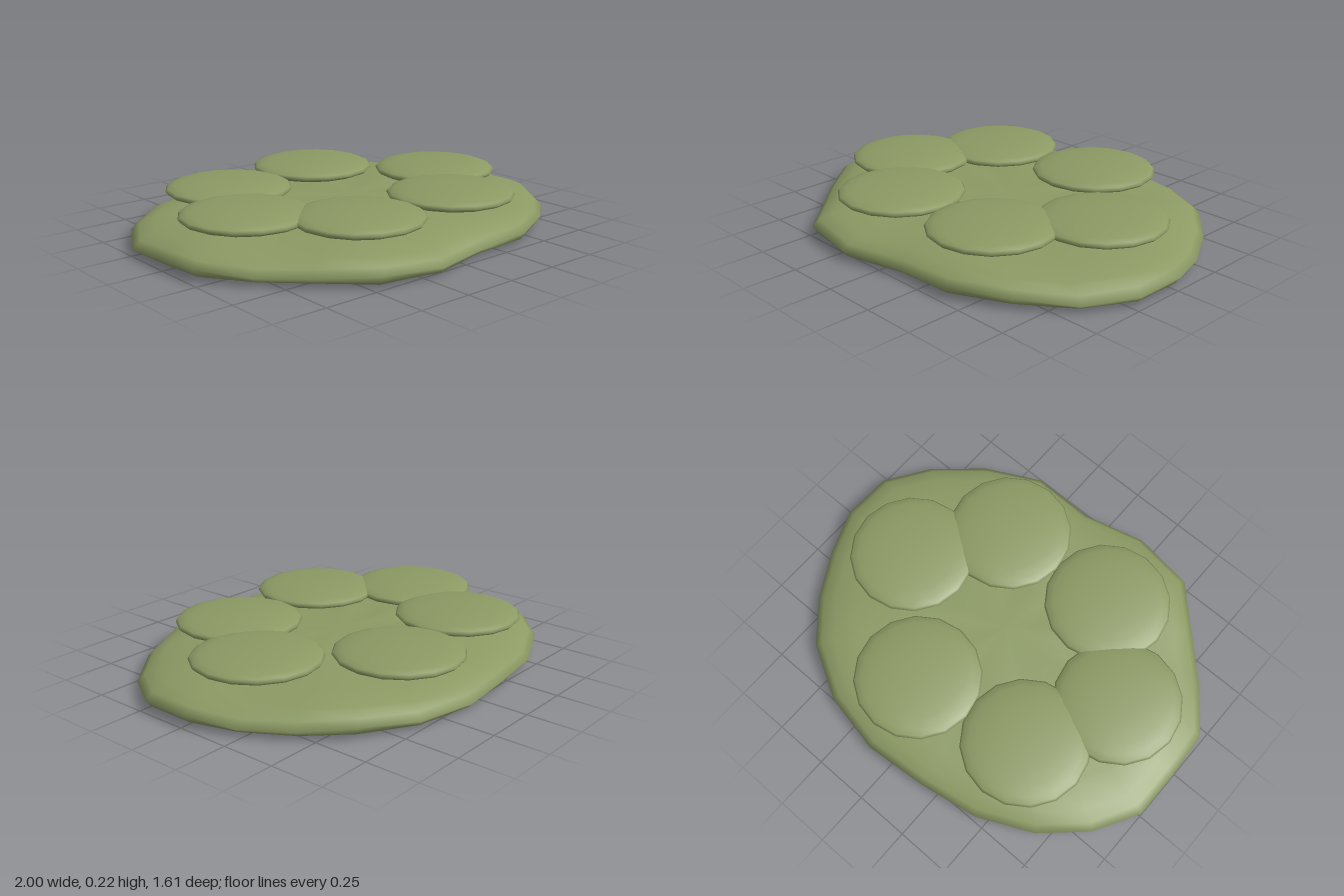
import * as THREE from 'three';

// Uneven rim of the base, as [x, z] going round from the back
const RIM = [
  [0.12, -0.81], [0.40, -0.755], [0.64, -0.62], [0.80, -0.44], [0.92, -0.23], [0.995, -0.02],
  [0.99, 0.22], [0.86, 0.43], [0.65, 0.60], [0.40, 0.725], [0.11, 0.73], [-0.18, 0.80],
  [-0.47, 0.755], [-0.66, 0.57], [-0.83, 0.40], [-0.985, 0.20], [-1, -0.02], [-1, -0.24],
  [-0.885, -0.45], [-0.70, -0.62], [-0.45, -0.735], [-0.17, -0.785],
];

// Rings of the base from underside to top, as [scale, height, unevenness]
const RINGS = [
  [0.5, 0, 0], [0.92, 0, 0], [0.975, 0.018, 0.004], [1, 0.045, 0.012], [0.965, 0.075, 0.01],
  [0.90, 0.1, 0.01], [0.78, 0.122, 0.008], [0.55, 0.135, 0.006], [0.25, 0.142, 0.004],
];

// Centres of the six pads, as [x, z]
const PADS = [
  [-0.42, -0.36], [0.142, -0.445], [0.57, -0.015],
  [0.295, 0.365], [-0.278, 0.39], [-0.612, 0.05],
];

function baseGeometry() {
  const n = RIM.length;
  const positions = [0, 0, 0];
  const index = [];
  for (const [scale, height, uneven] of RINGS) {
    RIM.forEach(([x, z], i) => {
      positions.push(x * scale, height + uneven * Math.sin(i * 1.9 + scale * 4), z * scale);
    });
  }
  positions.push(0, 0.145, 0);
  const top = positions.length / 3 - 1;
  const last = top - n;
  for (let i = 0; i < n; i++) {
    const j = (i + 1) % n;
    index.push(0, 1 + i, 1 + j);
    for (let r = 0; r < RINGS.length - 1; r++) {
      const a = 1 + r * n, b = a + n;
      index.push(a + i, b + i, b + j, a + i, b + j, a + j);
    }
    index.push(last + i, top, last + j);
  }
  const geometry = new THREE.BufferGeometry();
  geometry.setAttribute('position', new THREE.Float32BufferAttribute(positions, 3));
  geometry.setIndex(index);
  geometry.computeVertexNormals();
  return geometry;
}

export function createModel() {
  const group = new THREE.Group();
  const green = new THREE.MeshStandardMaterial({ color: 0x8c9a64 });
  green.name = 'mossGreen';

  // Low, lumpy mound
  const base = new THREE.Mesh(baseGeometry(), green);
  base.name = 'base';
  group.add(base);

  // Ring of flattened round pads
  const padGeometry = new THREE.SphereGeometry(0.292, 16, 12);
  padGeometry.scale(1, 0.045 / 0.292, 1);
  PADS.forEach(([x, z], i) => {
    const pad = new THREE.Mesh(padGeometry, green);
    pad.name = `pad${i + 1}`;
    pad.position.set(x, 0.18, z);
    group.add(pad);
  });
  return group;
}
